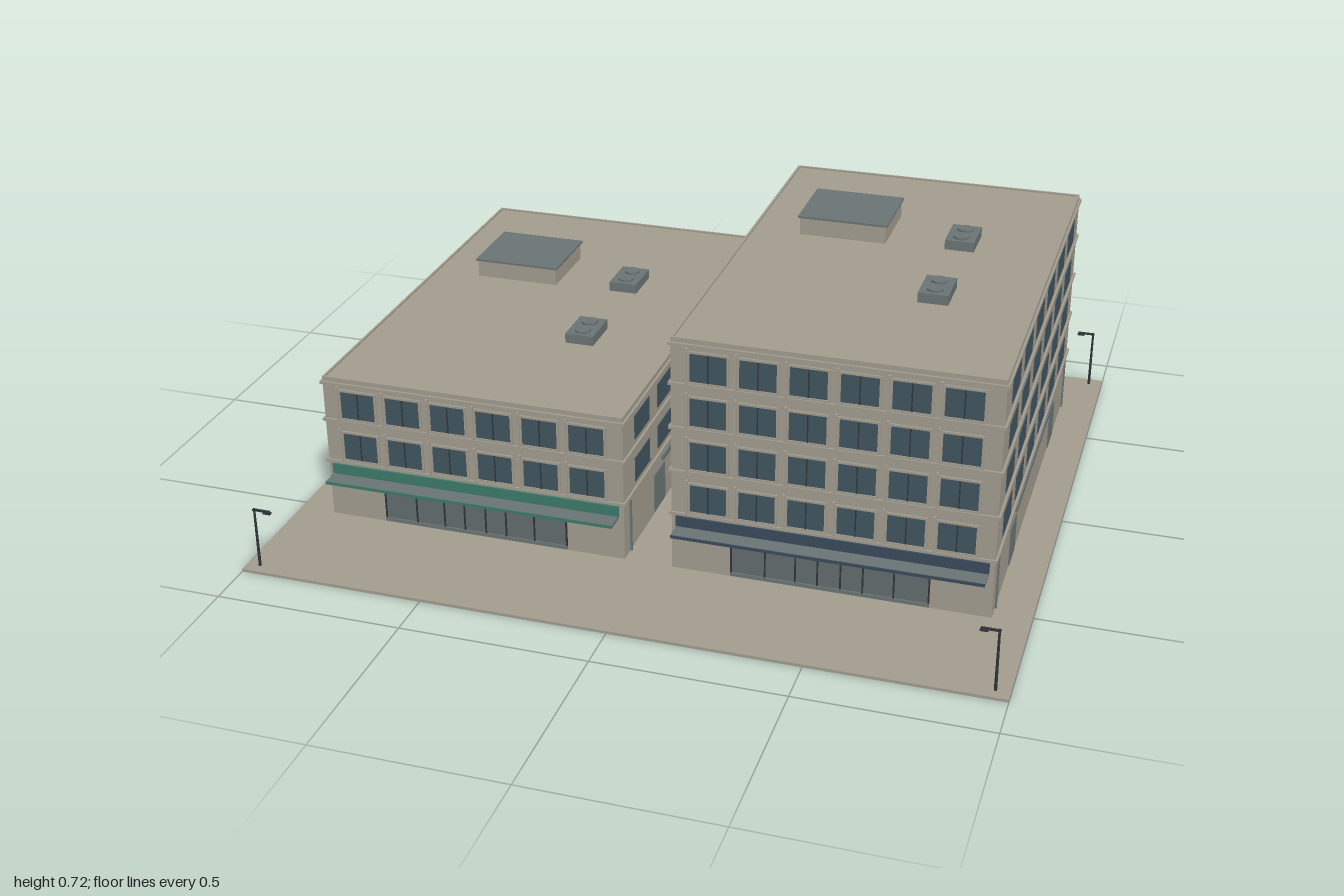
import * as THREE from 'three';

const mat = (name, color) => Object.assign(new THREE.MeshStandardMaterial({ color }), { name });
const concrete = mat('concrete', 0xa39c8f);
const glass = mat('window glass', 0x40545f);
const metal = mat('grey metal', 0x6a7474);
const shopGlass = mat('shop glass', 0x626c6d);
const dark = mat('dark steel', 0x30353a);
const green = mat('green fascia', 0x3c7a69);
const navy = mat('navy fascia', 0x3a4a5a);

// Box given by its minimum and maximum corners
function block(parent, name, material, x0, x1, y0, y1, z0, z1) {
  const m = new THREE.Mesh(new THREE.BoxGeometry(x1 - x0, y1 - y0, z1 - z0), material);
  m.position.set((x0 + x1) / 2, (y0 + y1) / 2, (z0 + z1) / 2);
  m.name = name;
  parent.add(m);
  return m;
}

const W = 0.836, D = 1.255, HW = W / 2, HD = D / 2;
const GROUND = 0.008, BASE = 0.172, FLOOR = 0.1235;

// Wall group whose local +z points outwards from the wall surface
function wall(parent, name, x, z, turn) {
  const g = new THREE.Group();
  g.name = name;
  g.position.set(x, 0, z);
  g.rotation.y = turn;
  parent.add(g);
  return g;
}

// Window with a slim concrete surround and one central mullion
function windowUnit(parent, u, y, w, h, surround) {
  block(parent, 'windowPane', glass, u - w / 2, u + w / 2, y - h / 2, y + h / 2, -0.002, 0.002);
  if (!surround) return;
  block(parent, 'windowMullion', dark, u - 0.0015, u + 0.0015, y - h / 2, y + h / 2, 0, 0.004);
  for (const s of [-1, 1]) {
    const a = u + s * (w / 2 + 0.003), b = y + s * (h / 2 + 0.003);
    block(parent, 'windowJamb', concrete, a - 0.003, a + 0.003, y - h / 2 - 0.006, y + h / 2 + 0.006, 0, 0.005);
    block(parent, 'windowRail', concrete, u - w / 2, u + w / 2, b - 0.003, b + 0.003, 0, 0.005);
  }
}

// Front and back: bays of windows, shopfront and coloured fascia
function streetWall(g, floors, fascia, flip) {
  for (let f = 0; f < floors; f++) {
    const y = BASE + f * FLOOR + 0.05;
    for (let i = 0; i < 6; i++) {
      const u = (i - 2.5) * 0.128;
      windowUnit(g, u, y, 0.096, 0.078, true);
      const p = u - flip * 0.056;
      block(g, 'bayFin', concrete, p - 0.003, p + 0.003, y - 0.045, y + 0.052, 0, 0.009);
    }
  }
  block(g, 'fascia', fascia, -0.405, 0.405, 0.138, 0.167, 0, 0.01);
  block(g, 'shopWindow', shopGlass, -0.26, 0.26, 0.022, 0.132, -0.002, 0.002);
  block(g, 'shopSill', metal, -0.26, 0.26, 0.012, 0.022, 0, 0.006);
  for (const u of [-0.258, -0.168, -0.088, -0.03, 0.03, 0.088, 0.168, 0.258])
    block(g, 'shopMullion', dark, u - 0.002, u + 0.002, 0.022, 0.132, 0, 0.005);
}

// Sides: plain windows, service doors, vent strip and downpipes
function sideWall(g, floors) {
  for (let f = 0; f < floors; f++)
    for (let i = 0; i < 6; i++)
      windowUnit(g, (i - 2.5) * 0.19, BASE + f * FLOOR + 0.053, 0.12, 0.068, false);
  for (const s of [-1, 1]) {
    block(g, 'serviceDoor', metal, s * 0.337 - 0.045, s * 0.337 + 0.045, 0.015, 0.125, -0.002, 0.003);
    block(g, 'downpipe', metal, s * 0.58 - 0.003, s * 0.58 + 0.003, GROUND, 0.16, 0, 0.005);
  }
  block(g, 'ventStrip', metal, -0.313, 0.313, 0.138, 0.152, 0, 0.006);
}

function building(name, x, floors, fascia) {
  const b = new THREE.Group();
  b.name = name;
  b.position.set(x, 0, -0.0875);
  const top = BASE + floors * FLOOR;
  block(b, 'walls', concrete, -HW, HW, GROUND, top - 0.002, -HD, HD);

  // Ledges between floors
  for (let f = 0; f <= floors; f++) {
    const y = BASE + f * FLOOR - (f === floors ? 0.014 : 0);
    block(b, 'floorLedge', concrete, -HW - 0.006, HW + 0.006, y - 0.004, y + 0.004, -HD - 0.006, HD + 0.006);
  }
  // Roof parapet
  for (const s of [-1, 1]) {
    const px = s * (HW - 0.003), pz = s * (HD - 0.003);
    block(b, 'parapetSide', concrete, px - 0.003, px + 0.003, top - 0.004, top + 0.003, -HD, HD);
    block(b, 'parapetEnd', concrete, -HW, HW, top - 0.004, top + 0.003, pz - 0.003, pz + 0.003);
  }

  streetWall(wall(b, 'frontWall', 0, HD, 0), floors, fascia, 1);
  streetWall(wall(b, 'backWall', 0, -HD, Math.PI), floors, fascia, -1);
  sideWall(wall(b, 'leftWall', HW, 0, Math.PI / 2), floors);
  sideWall(wall(b, 'rightWall', -HW, 0, -Math.PI / 2), floors);

  // Entrance canopy
  block(b, 'canopy', metal, -0.404, 0.404, 0.129, 0.137, HD, HD + 0.055);
  block(b, 'canopyEdge', fascia, -0.404, 0.404, 0.129, 0.137, HD + 0.055, HD + 0.058);

  // Stair house and air handling units on the roof
  block(b, 'stairHouse', concrete, -0.282, -0.042, top - 0.002, top + 0.047, -0.327, -0.118);
  block(b, 'stairHouseRoof', metal, -0.287, -0.037, top + 0.047, top + 0.053, -0.332, -0.113);
  for (const z of [-0.187, 0.178]) {
    block(b, 'airUnit', metal, 0.12, 0.2, top - 0.002, top + 0.025, z - 0.06, z + 0.06);
    for (const s of [-1, 1]) {
      const fan = new THREE.Mesh(new THREE.CylinderGeometry(0.022, 0.022, 0.006, 16), metal);
      fan.name = 'airUnitFan';
      fan.position.set(0.16, top + 0.028, z + s * 0.028);
      b.add(fan);
    }
  }
  return b;
}

// Street lamp with its arm pointing inwards
function lamp(sx, sz) {
  const g = new THREE.Group();
  g.name = 'streetLamp';
  const pole = new THREE.Mesh(new THREE.CylinderGeometry(0.003, 0.004, 0.17, 8), dark);
  pole.name = 'lampPole';
  pole.position.y = GROUND + 0.085;
  g.add(pole);
  const a = -sx * 0.02;
  block(g, 'lampArm', dark, a - 0.024, a + 0.024, 0.172, 0.177, -0.003, 0.003);
  const h = -sx * 0.036;
  block(g, 'lampHead', dark, h - 0.01, h + 0.01, 0.168, 0.173, -0.005, 0.005);
  g.position.set(sx * 0.963, 0, sz * 0.845);
  return g;
}

export function createModel() {
  const model = new THREE.Group();
  model.name = 'twoBuildingBlock';
  block(model, 'pavement', concrete, -1, 1, 0, GROUND, -0.875, 0.875);
  model.add(building('lowBuilding', -0.483, 2, green));
  model.add(building('tallBuilding', 0.483, 4, navy));
  for (const sx of [-1, 1]) for (const sz of [-1, 1]) model.add(lamp(sx, sz));
  return model;
}
